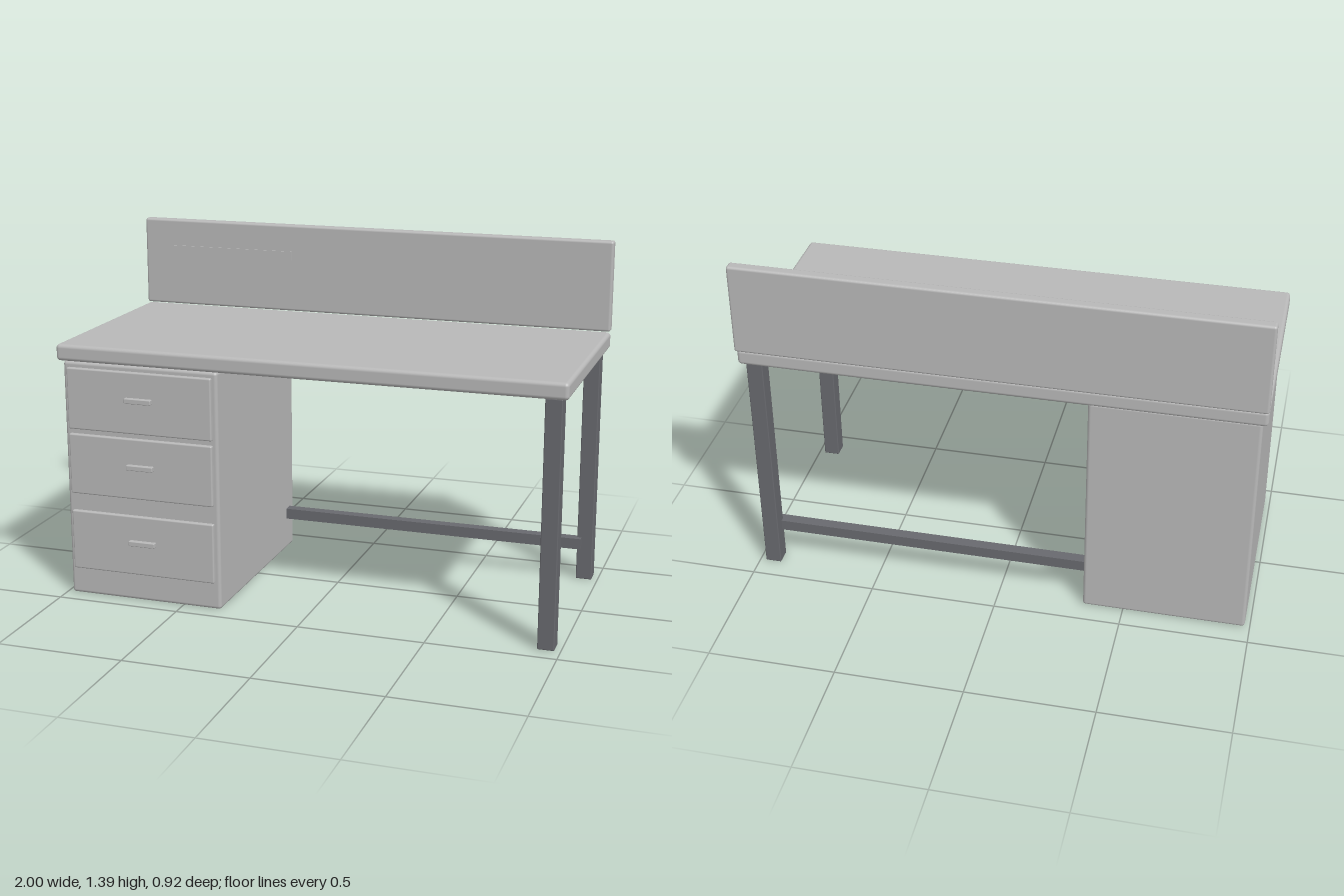
import * as THREE from 'three';
import { RoundedBoxGeometry } from 'three/addons/geometries/RoundedBoxGeometry.js';

const lightGrey = new THREE.MeshStandardMaterial({ name: 'lightGrey', color: 0xb8b8b8 });
const darkGrey = new THREE.MeshStandardMaterial({ name: 'darkGrey', color: 0x68696e });

export function createModel() {
  const desk = new THREE.Group();
  desk.name = 'desk';

  // Box given by its [min, max] extents, with an optional edge radius
  function block(name, material, [x0, x1], [y0, y1], [z0, z1], radius = 0) {
    const size = [x1 - x0, y1 - y0, z1 - z0];
    const geometry = radius
      ? new RoundedBoxGeometry(...size, 3, radius)
      : new THREE.BoxGeometry(...size);
    const mesh = new THREE.Mesh(geometry, material);
    mesh.name = name;
    mesh.position.set((x0 + x1) / 2, (y0 + y1) / 2, (z0 + z1) / 2);
    desk.add(mesh);
  }

  // Worktop and upright back panel
  block('worktop', lightGrey, [-1, 1], [0.96, 1.025], [-0.44, 0.45], 0.015);
  block('backPanel', lightGrey, [-1, 1], [1.028, 1.39], [-0.46, -0.416], 0.01);
  block('panelPlate', lightGrey, [-0.9, -0.34], [1.17, 1.28], [-0.419, -0.412]);

  // Drawer cabinet
  block('cabinet', lightGrey, [-0.98, -0.34], [0.004, 0.957], [-0.415, 0.43], 0.013);
  const drawers = [[0.69, 0.935, 0.825], [0.427, 0.67, 0.558], [0.115, 0.356, 0.248]];
  for (const [bottom, top, grip] of drawers) {
    block('drawerFront', lightGrey, [-0.96, -0.36], [bottom, top], [0.425, 0.446], 0.006);
    block('drawerHandle', lightGrey, [-0.712, -0.602], [grip - 0.01, grip + 0.01], [0.44, 0.464], 0.003);
  }

  // Legs and rear stretcher
  for (const z of [[0.365, 0.43], [-0.415, -0.35]]) {
    block('leg', darkGrey, [0.912, 0.976], [0.004, 0.96], z, 0.004);
  }
  block('stretcher', darkGrey, [-0.345, 0.93], [0.138, 0.182], [-0.37, -0.326]);

  return desk;
}
